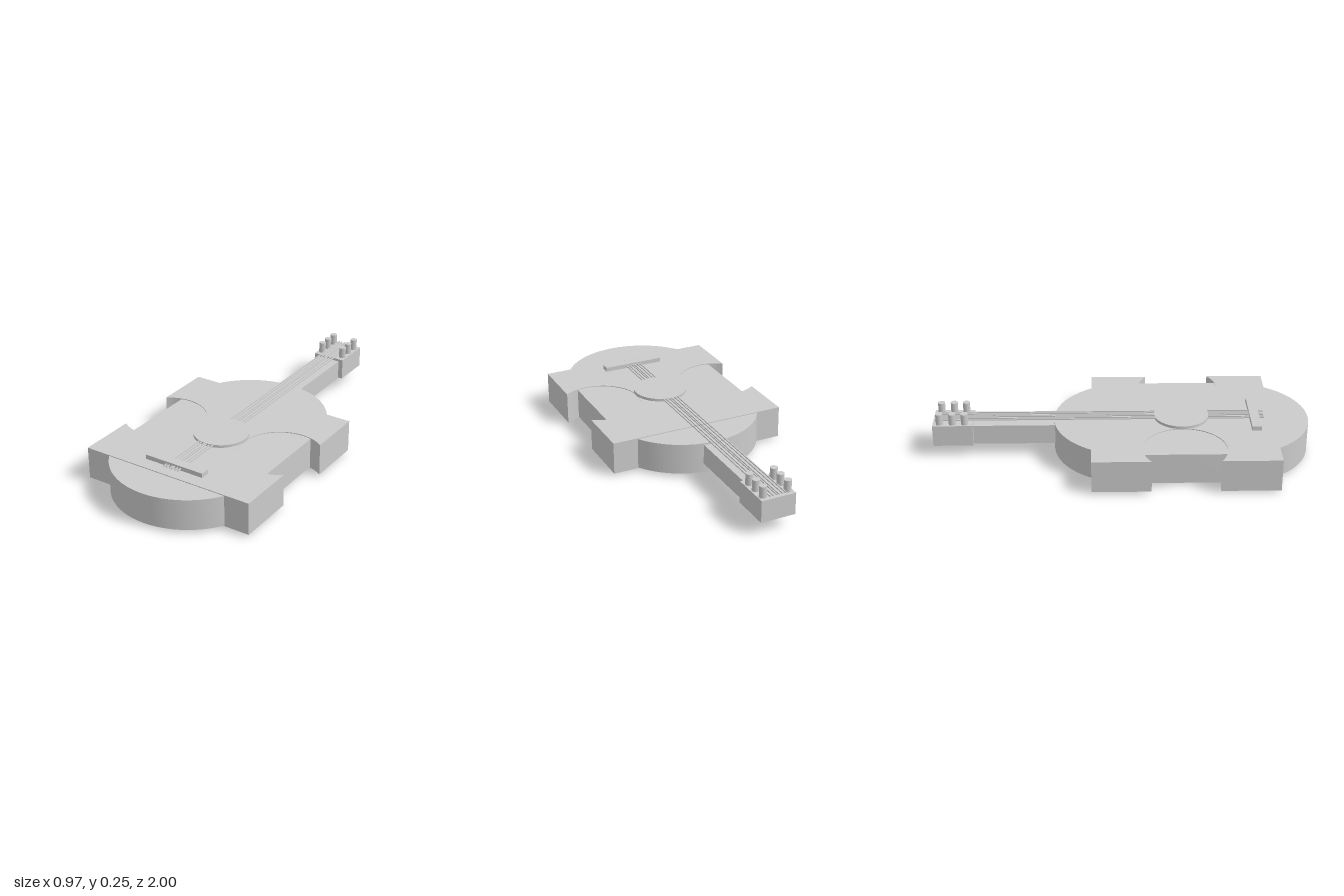
import * as THREE from 'three';
import { toCreasedNormals } from 'three/addons/utils/BufferGeometryUtils.js';

export function createModel() {
  const group = new THREE.Group();
  group.name = 'guitar';
  const material = new THREE.MeshStandardMaterial({ color: 0xcccccc });

  const add = (name, geometry, x, y, z) => {
    const mesh = new THREE.Mesh(geometry, material);
    mesh.name = name;
    mesh.position.set(x, y, z);
    group.add(mesh);
    return mesh;
  };
  // Box given by its half width, its height range and its depth range
  const block = (name, halfWidth, y0, y1, z0, z1, x = 0) =>
    add(name, new THREE.BoxGeometry(halfWidth * 2, y1 - y0, z1 - z0), x, (y0 + y1) / 2, (z0 + z1) / 2);
  // Upright cylinder
  const disc = (name, radius, y0, y1, x, z, sides) =>
    add(name, new THREE.CylinderGeometry(radius, radius, y1 - y0, sides), x, (y0 + y1) / 2, z);
  // Outline in plan (shape y becomes z), filled between two heights
  const slab = (name, shape, y0, y1) => {
    const flat = new THREE.ExtrudeGeometry(shape, { depth: y1 - y0, bevelEnabled: false, curveSegments: 32 });
    flat.rotateX(Math.PI / 2);
    return add(name, toCreasedNormals(flat, 0.5), 0, y1, 0);
  };

  // Inner body: two round bouts joined by a straight waist
  const bouts = new THREE.Shape();
  bouts.absarc(0, 0.59, 0.408, 0, Math.PI, false);
  bouts.absarc(0, 0.05, 0.408, Math.PI, Math.PI * 2, false);
  bouts.closePath();
  slab('bouts', bouts, 0.016, 0.182);

  // Square body with a round cutout on each side
  const w = 0.485, cx = 0.357, cz = 0.32, r = 0.217;
  const a = Math.acos((w - cx) / r);
  const body = new THREE.Shape();
  body.moveTo(-w, -0.16);
  body.lineTo(w, -0.16);
  body.absarc(cx, cz, r, -a, a, true);
  body.lineTo(w, 0.805);
  body.lineTo(-w, 0.805);
  body.absarc(-cx, cz, r, Math.PI - a, Math.PI + a, true);
  body.closePath();
  slab('body', body, 0.012, 0.186);

  // Sound hole disc, showing on top and underneath
  disc('soundHole', 0.145, 0, 0.201, 0, 0.32, 48);

  // Neck, headstock and bridge
  block('neck', 0.067, 0.066, 0.174, -0.85, -0.3);
  block('headstock', 0.093, 0.07, 0.187, -1, -0.787);
  block('bridge', 0.17, 0.186, 0.21, 0.683, 0.733);

  // Tuning pegs and strings, mirrored left and right
  for (const side of [-1, 1]) {
    for (const z of [-0.83, -0.895, -0.963]) disc('tuningPeg', 0.019, 0.18, 0.247, side * 0.067, z, 20);
    for (const x of [0.006, 0.025, 0.042]) block('string', 0.003, 0.194, 0.2, -0.99, 0.758, side * x);
  }
  return group;
}
